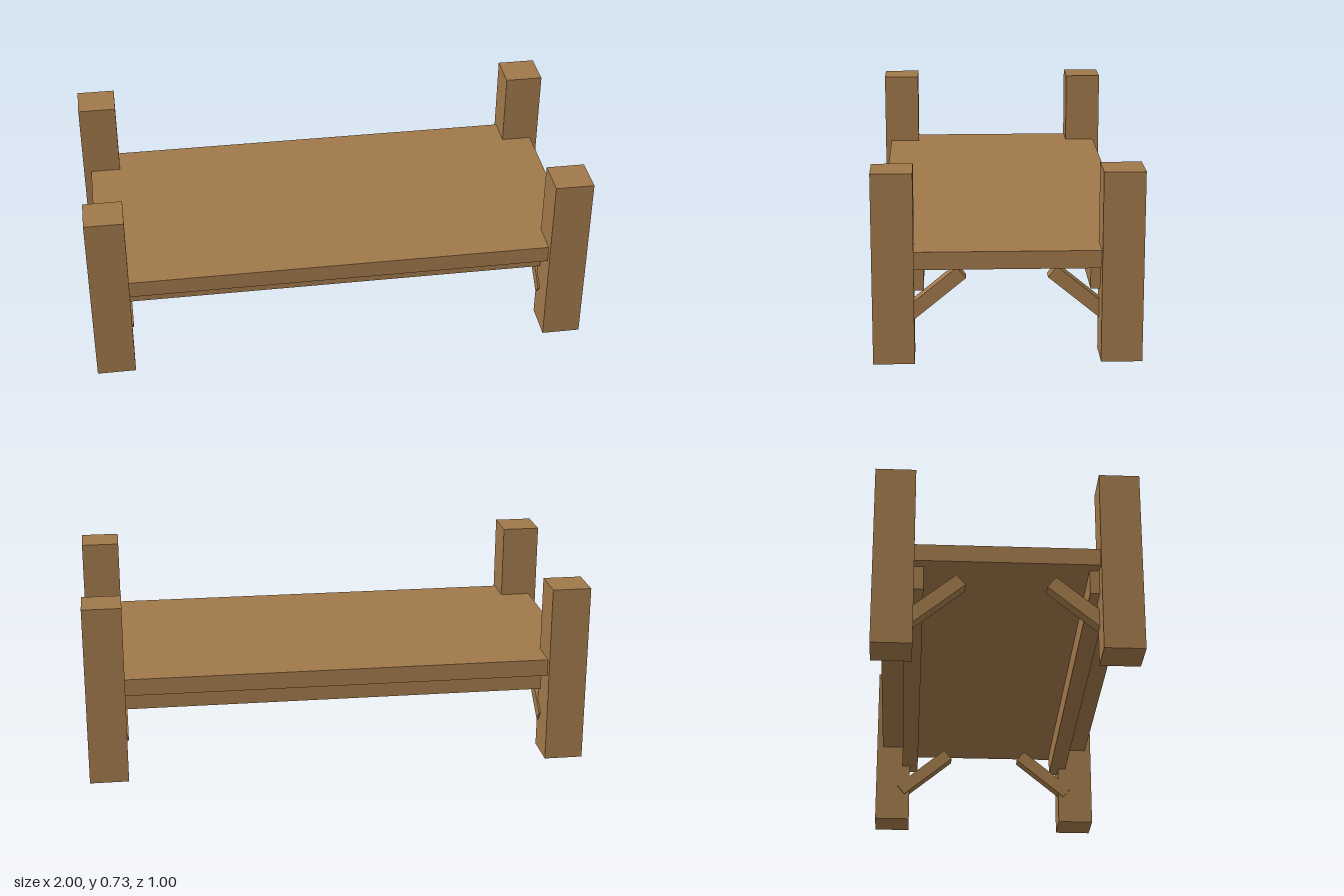
import * as THREE from 'three';

export function createModel() {
  const model = new THREE.Group();
  model.name = 'lowTable';
  const wood = new THREE.MeshStandardMaterial({ color: 0xa0784a });
  wood.name = 'brownWood';

  const addBox = (name, size, position) => {
    const mesh = new THREE.Mesh(new THREE.BoxGeometry(...size), wood);
    mesh.name = name;
    mesh.position.set(...position);
    model.add(mesh);
    return mesh;
  };

  // Flat slab resting between the posts
  addBox('platform', [1.94, 0.068, 0.948], [0, 0.389, 0]);

  for (const sz of [1, -1]) {
    const end = sz > 0 ? 'Front' : 'Back';

    // Long rail under the slab
    addBox(`rail${end}`, [1.845, 0.096, 0.07], [0, 0.308, sz * 0.345]);

    for (const sx of [1, -1]) {
      const corner = end + (sx > 0 ? 'Left' : 'Right');

      // Square corner post
      addBox(`post${corner}`, [0.154, 0.727, 0.154], [sx * 0.923, 0.3635, sz * 0.423]);

      // Sloping brace rising inward from the post
      const brace = addBox(`brace${corner}`, [0.055, 0.054, 0.28], [sx * 0.867, 0.23, sz * 0.278]);
      brace.rotation.x = sz * THREE.MathUtils.degToRad(39.5);
    }
  }

  return model;
}
